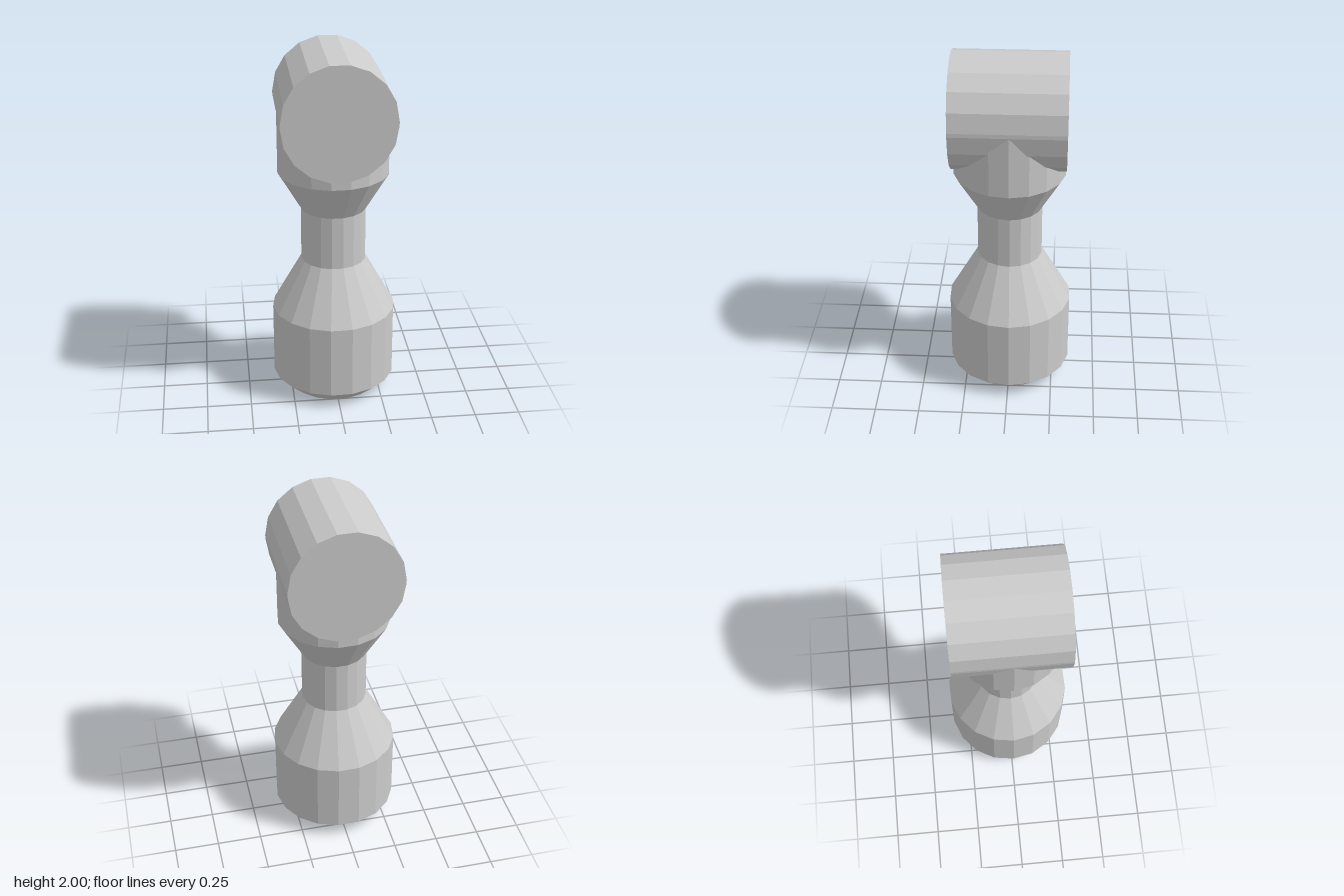
import * as THREE from 'three';

const SIDES = 18;
const STEP = (2 * Math.PI) / SIDES;

export function createModel() {
  const model = new THREE.Group();
  const material = new THREE.MeshStandardMaterial({ color: 0xcccccc, flatShading: true });
  const add = (name, geometry) => {
    const mesh = new THREE.Mesh(geometry, material);
    mesh.name = name;
    model.add(mesh);
    return mesh;
  };

  // Handle: bored grip, narrow neck and flared collar running up into the head
  const profile = [
    [0, 0.75], [0.178, 0.75], [0.178, 0], // blind bore
    [0.255, 0], [0.35, 0.085], [0.35, 0.5], // grip
    [0.183, 0.8], [0.183, 1.105], // neck
    [0.31, 1.32], [0.31, 1.665], [0, 1.665], // collar
  ].map(([r, y]) => new THREE.Vector2(r, y));
  add('handle', new THREE.LatheGeometry(profile, SIDES, THREE.MathUtils.degToRad(11.6)));

  // Head: faceted barrel lying along z, its upper half raised slightly
  const radius = 0.31, length = 0.62;
  const outline = [];
  for (let i = 0; i <= SIDES / 2; i++) {
    outline.push(new THREE.Vector2(radius * Math.cos(i * STEP), 1.692 + radius * Math.sin(i * STEP)));
  }
  for (let i = SIDES / 2; i <= SIDES; i++) {
    outline.push(new THREE.Vector2(radius * Math.cos(i * STEP), 1.67 + radius * Math.sin(i * STEP)));
  }
  const head = add('head', new THREE.ExtrudeGeometry(new THREE.Shape(outline), {
    depth: length, bevelEnabled: false,
  }));
  head.position.z = -length / 2;

  return model;
}
